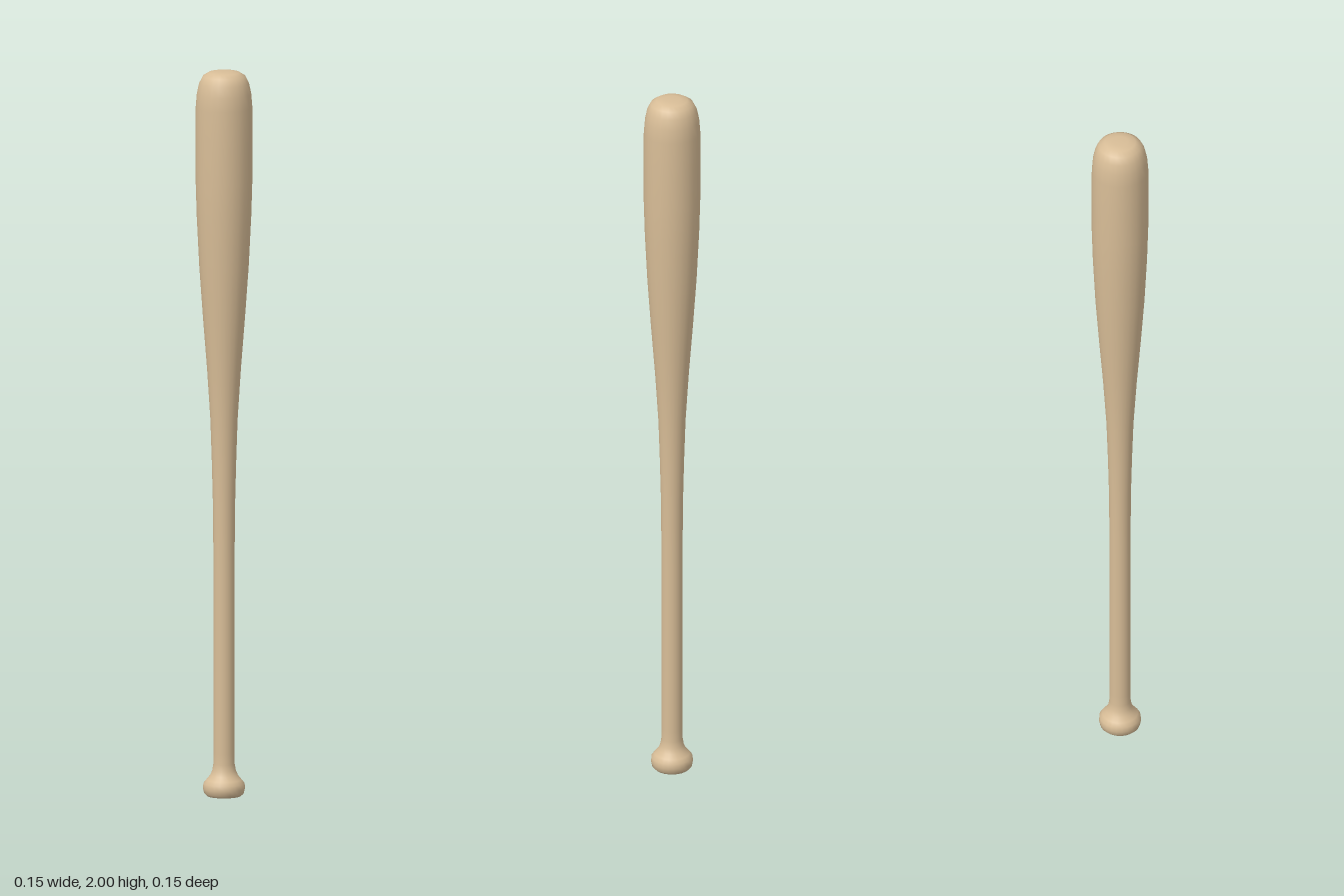
import * as THREE from 'three';

const SIDES = 24;

// Turned part from [radius, height] pairs, listed bottom to top
function turned(name, profile, material) {
  const points = profile.map(([r, y]) => new THREE.Vector2(r, y));
  const mesh = new THREE.Mesh(new THREE.LatheGeometry(points, SIDES), material);
  mesh.name = name;
  return mesh;
}

export function createModel() {
  const group = new THREE.Group();
  group.name = 'bat';
  const wood = new THREE.MeshStandardMaterial({ color: 0xd8bd97 });
  wood.name = 'pale wood';

  // Flared knob at the foot, closed underneath
  group.add(turned('knob', [
    [0, 0], [0.047, 0.002], [0.054, 0.009], [0.057, 0.022], [0.056, 0.036],
    [0.048, 0.046], [0.038, 0.058], [0.032, 0.072], [0.029, 0.09], [0.029, 0.12],
  ], wood));

  // Slim straight grip
  group.add(turned('handle', [[0.029, 0.12], [0.029, 0.6]], wood));

  // Taper swelling into the barrel, with a rounded end
  group.add(turned('barrel', [
    [0.029, 0.6], [0.029, 0.68], [0.03, 0.8], [0.033, 0.92], [0.037, 1.04],
    [0.046, 1.18], [0.057, 1.32], [0.067, 1.46], [0.074, 1.6], [0.077, 1.7],
    [0.077, 1.8], [0.077, 1.9], [0.074, 1.938], [0.068, 1.967], [0.058, 1.987],
    [0.042, 1.997], [0.022, 2], [0, 2],
  ], wood));

  return group;
}
